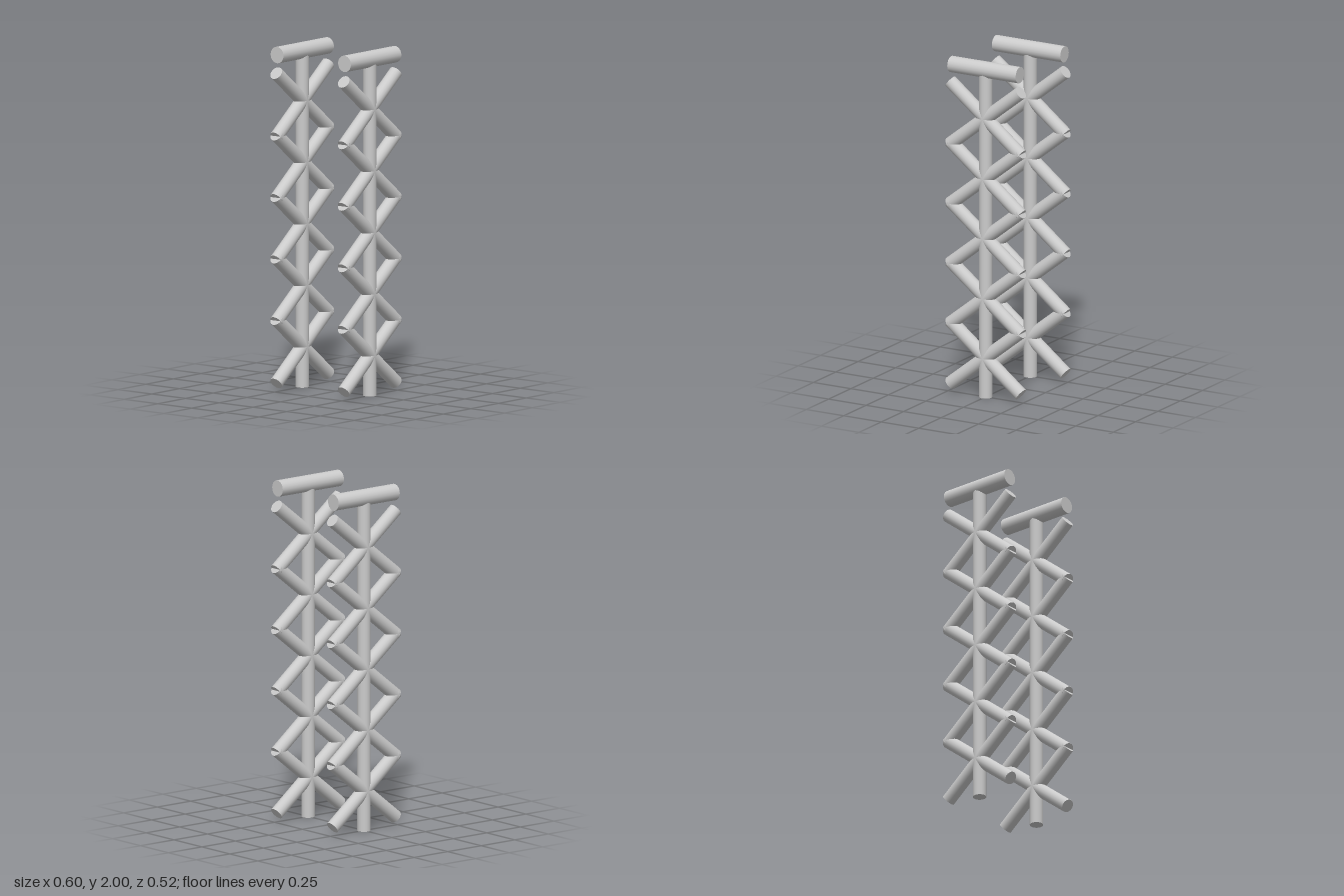
import * as THREE from 'three';

const SIDES = 18;
const material = new THREE.MeshStandardMaterial({ color: 0xcccccc });

// Round bar along y, turned about x by tilt, with a vertex line on +-x
function bar(name, radius, length, y, tilt = 0) {
  const geometry = new THREE.CylinderGeometry(radius, radius, length, SIDES);
  geometry.rotateY(Math.PI / 2);
  geometry.rotateX(tilt);
  const mesh = new THREE.Mesh(geometry, material);
  mesh.name = name;
  mesh.position.y = y;
  return mesh;
}

// One upright with its top rail and five crossed pairs of braces
function createPost(name) {
  const post = new THREE.Group();
  post.name = name;
  post.add(bar('upright', 0.039, 1.95, 0.975));
  post.add(bar('topRail', 0.048, 0.456, 1.953, Math.PI / 2));

  const tilt = Math.atan2(0.235, 0.186);
  for (let i = 0; i < 5; i++) {
    const y = 0.235 + i * 0.357;
    for (const side of [1, -1]) {
      post.add(bar(side > 0 ? 'risingBrace' : 'fallingBrace', 0.039, 0.6, y, side * tilt));
    }
  }
  return post;
}

export function createModel() {
  const model = new THREE.Group();
  model.name = 'bracedPosts';
  for (const side of [1, -1]) {
    const post = createPost(side > 0 ? 'leftPost' : 'rightPost');
    post.position.x = side * 0.25;
    model.add(post);
  }
  return model;
}
